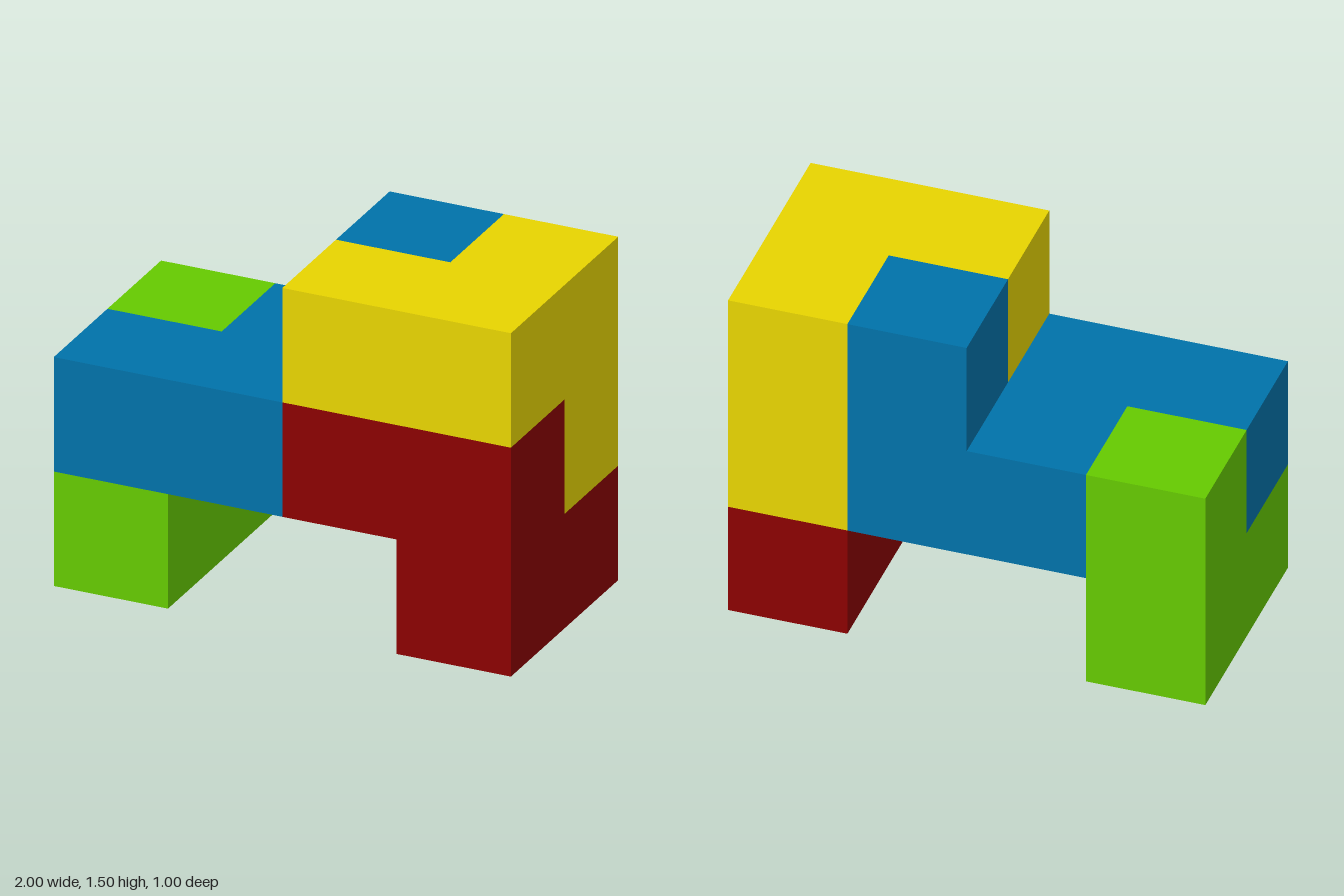
import * as THREE from 'three';
import { mergeGeometries } from 'three/addons/utils/BufferGeometryUtils.js';

const S = 0.5; // edge of one cube cell

// Each piece is a chain of cube cells: [column from left edge, layer, row from back]
const PIECES = [
  { name: 'greenPiece', color: 0x65c900, cells: [[0, 0, 1], [0, 0, 0], [0, 1, 0]] },
  { name: 'bluePiece', color: 0x0072a9, cells: [[0, 1, 1], [1, 1, 1], [1, 1, 0], [2, 1, 0], [2, 2, 0]] },
  { name: 'redPiece', color: 0x8a0000, cells: [[2, 1, 1], [3, 1, 1], [3, 0, 1], [3, 0, 0]] },
  { name: 'yellowPiece', color: 0xe7d400, cells: [[2, 2, 1], [3, 2, 1], [3, 2, 0], [3, 1, 0]] },
];

const DIRECTIONS = [[1, 0, 0], [-1, 0, 0], [0, 1, 0], [0, -1, 0], [0, 0, 1], [0, 0, -1]];
const FORWARD = new THREE.Vector3(0, 0, 1);

// Square face of a cell, turned towards the given direction
function cellFace(cell, dir) {
  const normal = new THREE.Vector3(...dir);
  const center = new THREE.Vector3((cell[0] - 1.5) * S, (cell[1] + 0.5) * S, (cell[2] - 0.5) * S);
  return new THREE.PlaneGeometry(S, S)
    .applyQuaternion(new THREE.Quaternion().setFromUnitVectors(FORWARD, normal))
    .translate(...center.addScaledVector(normal, S / 2).toArray());
}

export function createModel() {
  const group = new THREE.Group();
  group.name = 'interlockingBlocks';
  const filled = new Set(PIECES.flatMap(p => p.cells.map(String)));

  for (const { name, color, cells } of PIECES) {
    // Keep only the faces that are not covered by a neighbouring cell
    const faces = [];
    for (const cell of cells) {
      for (const dir of DIRECTIONS) {
        if (!filled.has(String(cell.map((c, i) => c + dir[i])))) faces.push(cellFace(cell, dir));
      }
    }
    const material = new THREE.MeshStandardMaterial({ color });
    material.name = name.replace('Piece', '');
    const mesh = new THREE.Mesh(mergeGeometries(faces), material);
    mesh.name = name;
    group.add(mesh);
  }
  return group;
}
